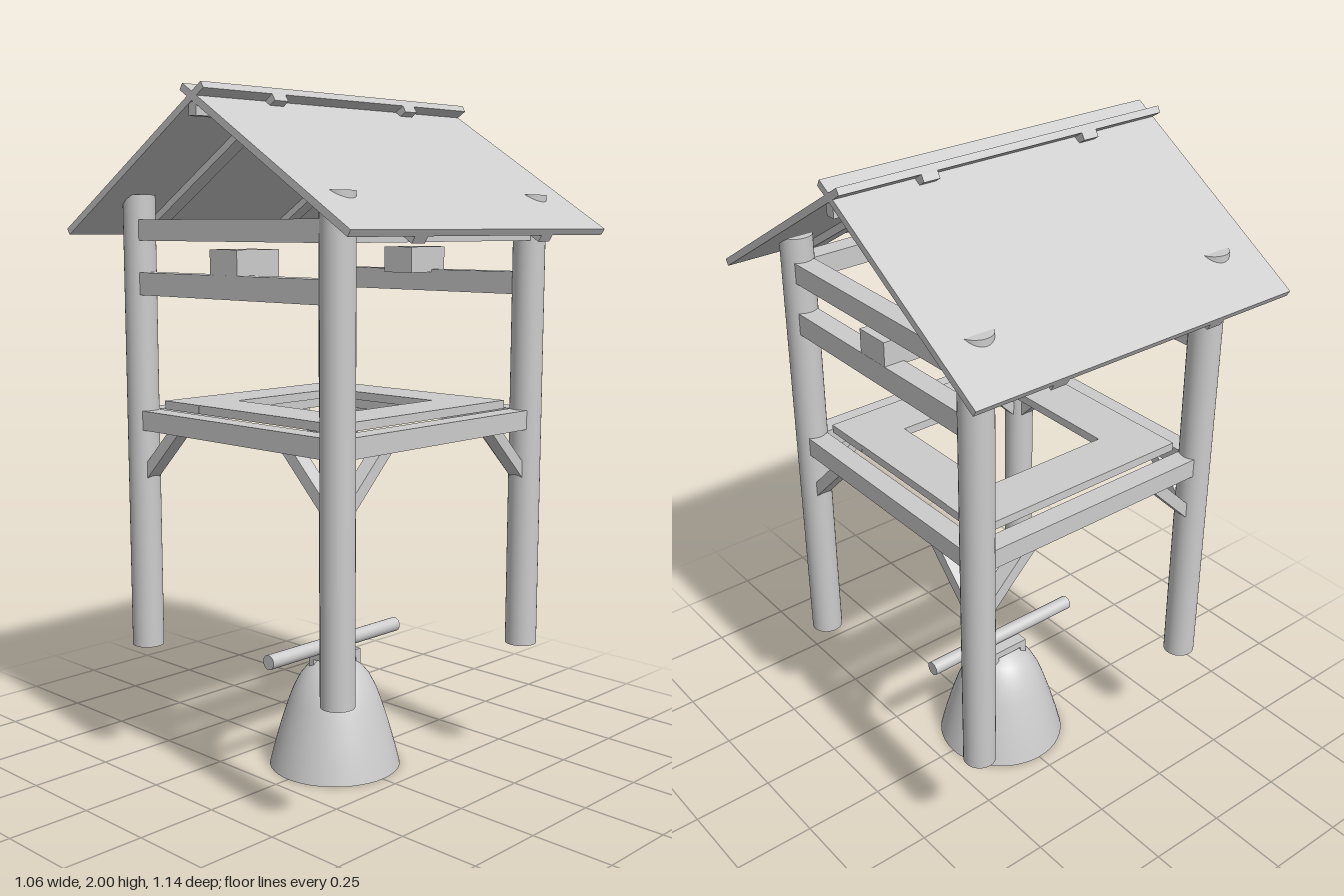
import * as THREE from 'three';

export function createModel() {
  const model = new THREE.Group();
  const grey = new THREE.MeshStandardMaterial({ color: 0xcccccc });
  grey.name = 'light grey';

  const add = (parent, name, geometry, x = 0, y = 0, z = 0) => {
    const mesh = new THREE.Mesh(geometry, grey);
    mesh.name = name;
    mesh.position.set(x, y, z);
    parent.add(mesh);
    return mesh;
  };
  // box given by its lower and upper corner
  const box = (parent, name, [x0, y0, z0], [x1, y1, z1]) =>
    add(parent, name, new THREE.BoxGeometry(x1 - x0, y1 - y0, z1 - z0),
      (x0 + x1) / 2, (y0 + y1) / 2, (z0 + z1) / 2);

  const P = 0.4;      // post centre distance
  const R = 0.047;    // post radius
  const B = 0.031;    // half beam width

  // corner posts
  for (const x of [-P, P]) for (const z of [-P, P])
    add(model, 'post', new THREE.CylinderGeometry(R, R, 1.34, 32), x, 1.05, z);

  // four sides: floor beam, top beam and a pair of diagonal braces each
  for (let i = 0; i < 4; i++) {
    const side = new THREE.Group();
    side.name = 'frameSide';
    side.rotation.y = i * Math.PI / 2;
    model.add(side);
    box(side, 'floorBeam', [-0.38, 1.04, P - B], [0.38, 1.097, P + B]);
    box(side, 'topBeam', [-0.38, 1.59, P - B], [0.38, 1.65, P + B]);
    for (const s of [-1, 1]) {
      const brace = add(side, 'brace', new THREE.BoxGeometry(0.21, 0.034, 0.045), s * 0.305, 0.975, P);
      brace.rotation.z = -s * Math.PI / 4;
    }
  }

  // bell rails with bearing blocks on the left and right sides
  for (const s of [-1, 1]) {
    add(model, 'bellRail', new THREE.BoxGeometry(2 * B, 0.065, 0.76), s * P, 1.467, 0);
    add(model, 'bearingBlock', new THREE.BoxGeometry(0.155, 0.078, 0.11), s * 0.353, 1.53, 0);
  }

  // floor planks around a square opening
  for (const s of [-1, 1]) {
    add(model, 'floorPlankX', new THREE.BoxGeometry(0.71, 0.025, 0.152), 0, 1.109, s * 0.278);
    add(model, 'floorPlankZ', new THREE.BoxGeometry(0.152, 0.025, 0.404), s * 0.278, 1.109, 0);
  }

  // two roof slopes crossing at the ridge, each with two rafters below
  const slope = Math.atan(0.62);
  for (const turn of [0, Math.PI]) {
    const half = new THREE.Group();
    half.name = 'roofHalf';
    half.rotation.y = turn;
    model.add(half);
    const pitch = new THREE.Group();
    pitch.name = 'roofSlope';
    pitch.position.y = 1.977;
    pitch.rotation.x = slope;
    half.add(pitch);
    box(pitch, 'roofPanel', [-0.532, -0.02, -0.0435], [0.532, 0, 0.671]);
    for (const x of [-0.265, 0.265])
      box(pitch, 'rafter', [x - 0.025, -0.041, -0.0435], [x + 0.025, -0.02, 0.671]);
  }
  box(model, 'ridgeBeam', [-0.53, 1.915, -0.015], [0.53, 1.95, 0.015]);

  // hollow bell
  const profile = [
    [0, 0.315], [0.04, 0.308], [0.075, 0.275], [0.105, 0.225], [0.14, 0.13], [0.174, 0],
    [0.174, 0], [0.2, 0], [0.2, 0],
    [0.185, 0.06], [0.165, 0.13], [0.142, 0.2], [0.127, 0.24], [0.106, 0.28],
    [0.085, 0.305], [0.06, 0.325], [0.03, 0.336], [0, 0.339],
  ].map(([r, y]) => new THREE.Vector2(r, y));
  // inner wall, lip and outer wall stay separate so their edges are sharp
  for (const [name, from, to] of [['bellInside', 0, 6], ['bellLip', 6, 8], ['bellOutside', 8, 18]])
    add(model, name, new THREE.LatheGeometry(profile.slice(from, to), 48));

  // bell crown and carrying pole
  box(model, 'crownPlate', [-0.065, 0.334, -0.046], [0.065, 0.357, 0.046]);
  for (const x of [-0.055, 0.055]) for (const z of [-0.036, 0.036])
    add(model, 'crownLeg', new THREE.BoxGeometry(0.02, 0.04, 0.02), x, 0.327, z);
  const pole = add(model, 'pole', new THREE.CylinderGeometry(0.022, 0.022, 0.548, 24), -0.002, 0.38, 0);
  pole.rotation.z = Math.PI / 2;

  return model;
}
